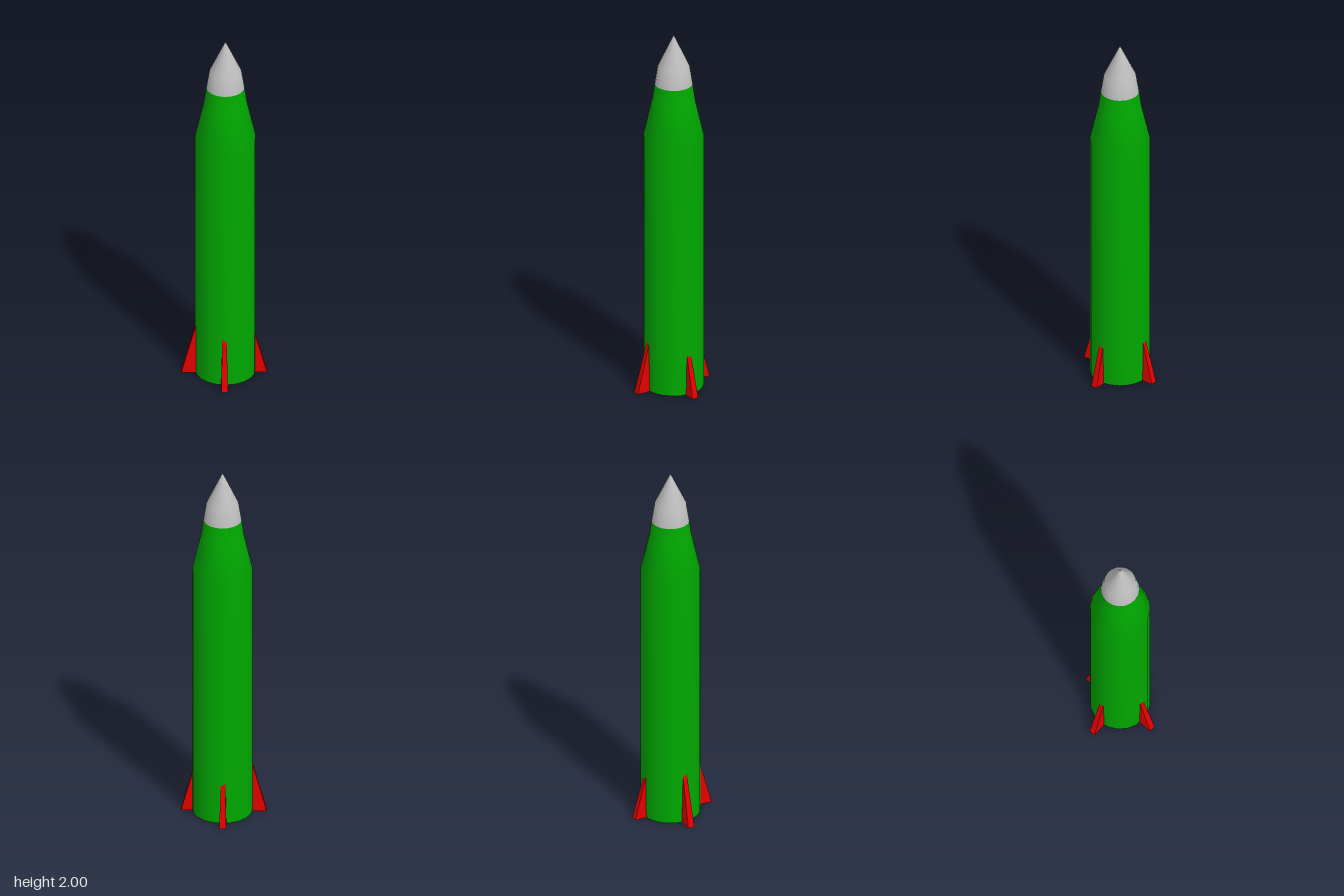
import * as THREE from 'three';

const SIDES = 20;
const AXIS = new THREE.Vector3(0.0075, 0, -0.0055); // hull sits slightly off the fin cross

function material(name, color) {
  const m = new THREE.MeshStandardMaterial({ color });
  m.name = name;
  return m;
}

// Surface of revolution from [radius, height] pairs, bottom to top
function lathe(name, profile, mat) {
  const points = profile.map(([r, y]) => new THREE.Vector2(r, y));
  const mesh = new THREE.Mesh(new THREE.LatheGeometry(points, SIDES), mat);
  mesh.name = name;
  mesh.position.copy(AXIS);
  return mesh;
}

// Thin four-sided pyramid crossing the hull, showing as a pair of opposite fins
function finPair(name, halfX, halfZ, mat) {
  const height = 0.825;
  const geo = new THREE.CylinderGeometry(0, Math.SQRT2, height, 4)
    .rotateY(Math.PI / 4)
    .scale(halfX, 1, halfZ)
    .translate(0, height / 2, 0)
    .toNonIndexed();
  geo.computeVertexNormals();
  const mesh = new THREE.Mesh(geo, mat);
  mesh.name = name;
  return mesh;
}

export function createModel() {
  const green = material('hull green', 0x00a800);
  const grey = material('metal grey', 0xbebebe);
  const red = material('fin red', 0xe20000);

  const model = new THREE.Group();
  model.name = 'rocket';

  // Straight hull with a tapering shoulder
  model.add(lathe('hull', [[0.158, 0.002], [0.158, 1.432], [0.112, 1.635], [0.1, 1.722]], green));

  // Pointed nose cone
  model.add(lathe('noseCone', [[0.1, 1.722], [0.084, 1.822], [0, 2]], grey));

  // Flat plate closing the bottom
  const base = new THREE.Mesh(new THREE.CircleGeometry(0.158, SIDES).rotateX(Math.PI / 2), grey);
  base.name = 'basePlate';
  base.position.copy(AXIS).setY(0.002);
  model.add(base);

  // Four fins made from two crossing blades
  model.add(finPair('sideFins', 0.224, 0.0175, red));
  model.add(finPair('frontBackFins', 0.0175, 0.224, red));

  return model;
}
